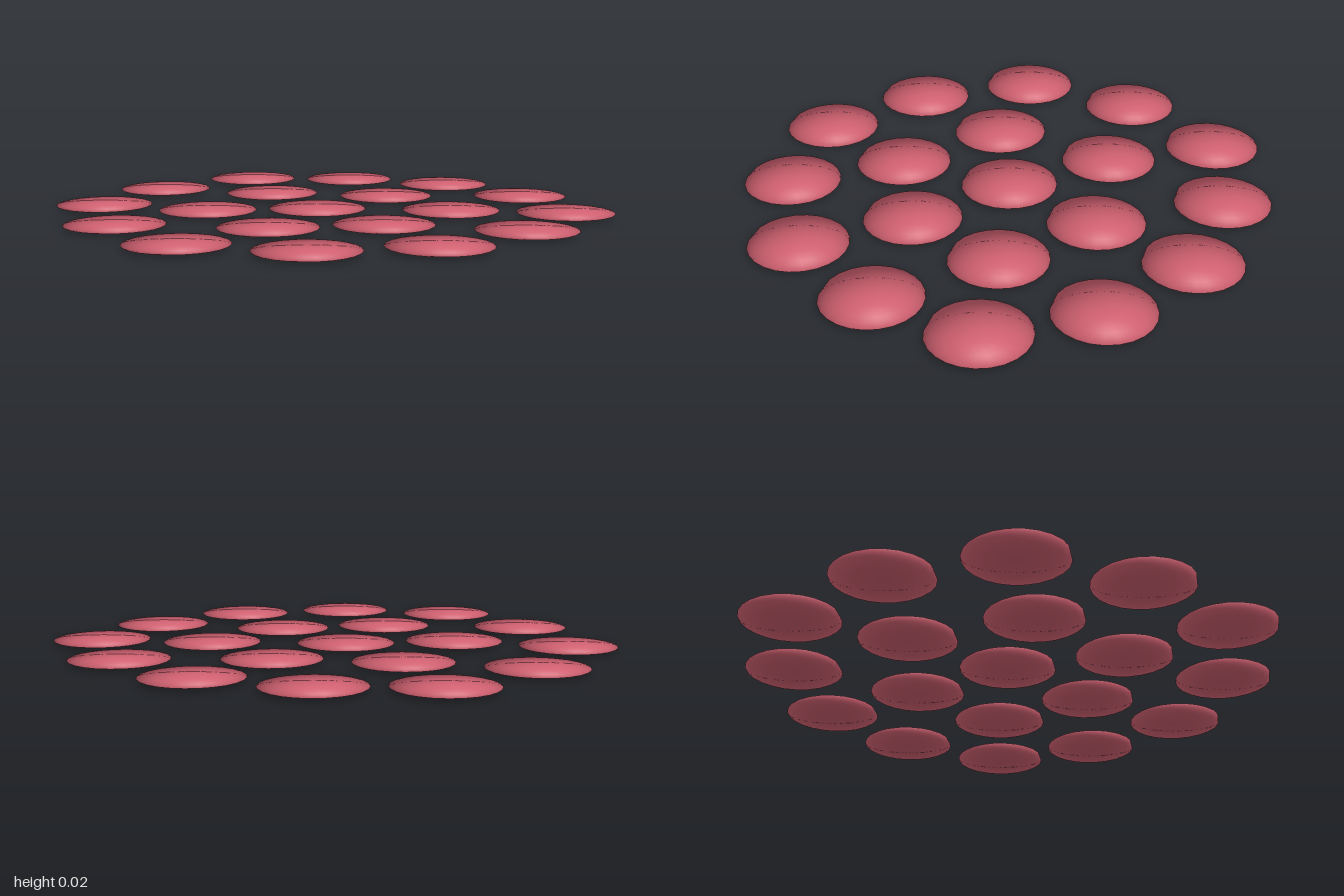
import * as THREE from 'three';

// Disc centres, [x, z]: an outer ring of twelve and an inner cluster of seven
const OUTER = [
  [-0.55, -0.66], [-0.163, -0.77], [0.244, -0.745], [0.594, -0.53],
  [0.82, -0.19], [0.748, 0.197], [0.537, 0.552], [0.167, 0.747],
  [-0.255, 0.774], [-0.597, 0.518], [-0.825, 0.147], [-0.777, -0.286],
];
const INNER = [
  [-0.335, -0.31], [0.104, -0.377], [0.418, -0.123], [0.27, 0.24],
  [-0.084, 0.411], [-0.415, 0.141], [-0.051, -0.011],
];
const RADIUS = 0.175;
const HALF_HEIGHT = 0.011;

// A ball pressed into a thin lens with a slightly flat front edge.
// Only positions are pressed, so it keeps the soft round shading of the ball.
function pressedBall() {
  const geometry = new THREE.SphereGeometry(RADIUS, 24, 16);
  const p = geometry.attributes.position;
  for (let i = 0; i < p.count; i++) {
    p.setY(i, p.getY(i) * HALF_HEIGHT / RADIUS);
    p.setZ(i, Math.min(p.getZ(i), 0.165));
  }
  geometry.computeBoundingSphere();
  return geometry;
}

export function createModel() {
  const model = new THREE.Group();
  model.name = 'discCluster';
  const rose = new THREE.MeshStandardMaterial({ color: 0xcf6070 });
  rose.name = 'rose';
  const geometry = pressedBall();

  const addDiscs = (name, centres) => {
    const ring = new THREE.Group();
    ring.name = name;
    centres.forEach(([x, z], i) => {
      const disc = new THREE.Mesh(geometry, rose);
      disc.name = `disc${i + 1}`;
      disc.position.set(x, HALF_HEIGHT, z);
      ring.add(disc);
    });
    model.add(ring);
  };
  addDiscs('outerRing', OUTER);
  addDiscs('innerCluster', INNER);
  return model;
}
